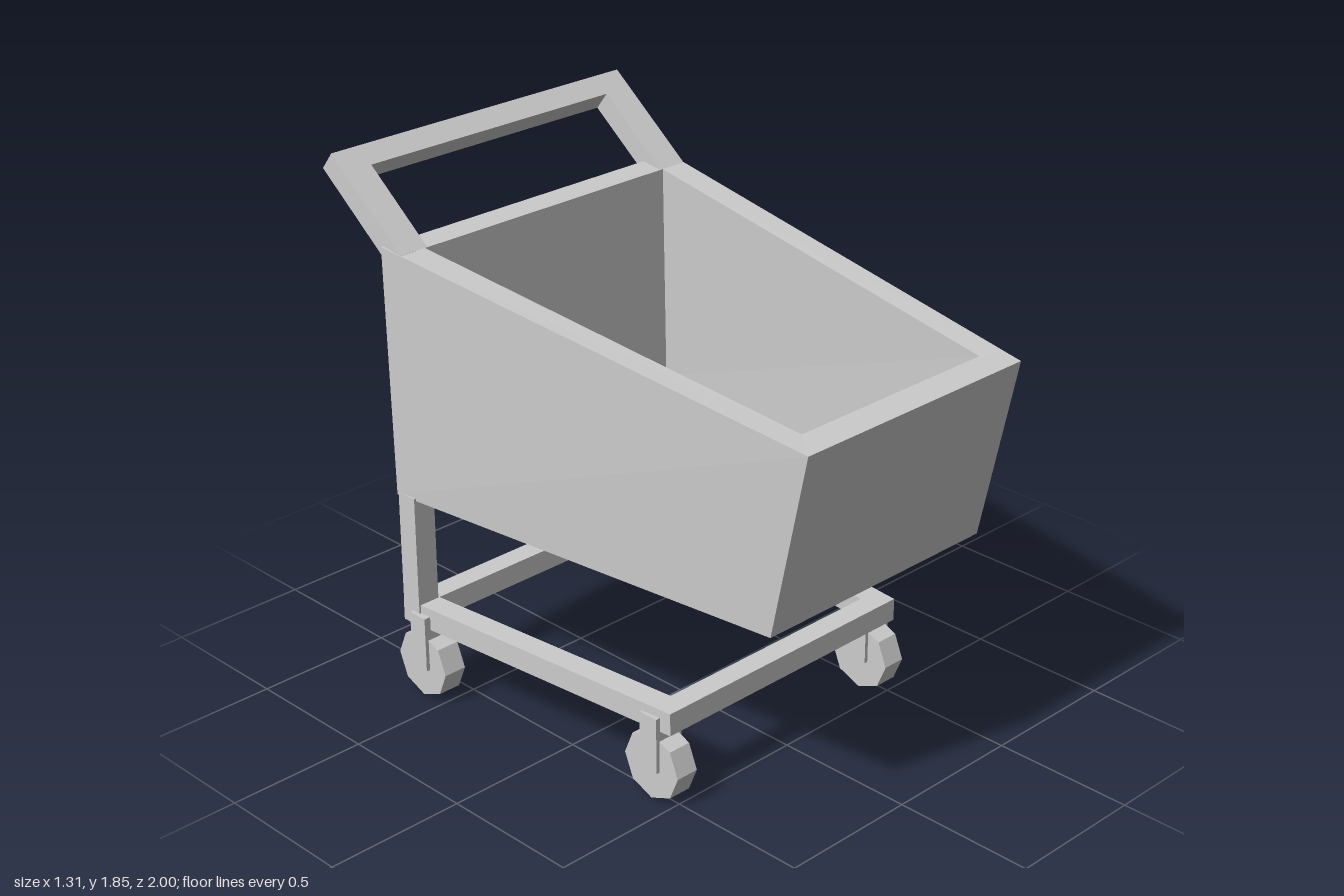
import * as THREE from 'three';

const material = new THREE.MeshStandardMaterial({ color: 0xcccccc, flatShading: true });

function add(parent, name, geometry, x = 0, y = 0, z = 0) {
  const mesh = new THREE.Mesh(geometry, material);
  mesh.name = name;
  mesh.position.set(x, y, z);
  parent.add(mesh);
  return mesh;
}

function polygon(points, Type = THREE.Shape) {
  return new Type(points.map(([x, y]) => new THREE.Vector2(x, y)));
}

// Four corners of a symmetric ring: front half width, y, z, then the same for the back
function ring(fx, fy, fz, bx, by, bz) {
  return [[fx, fy, fz], [bx, by, bz], [-bx, by, bz], [-fx, fy, fz]];
}

// Skin a list of four-cornered rings and cap both ends
function skin(rings) {
  const index = [];
  const quad = (a, b, c, d) => index.push(a, b, c, a, c, d);
  const last = (rings.length - 1) * 4;
  for (let r = 0; r < last; r += 4) {
    for (let i = 0; i < 4; i++) {
      const j = (i + 1) % 4;
      quad(r + i, r + j, r + 4 + j, r + 4 + i);
    }
  }
  quad(3, 2, 1, 0);
  quad(last, last + 1, last + 2, last + 3);
  const geometry = new THREE.BufferGeometry();
  geometry.setAttribute('position', new THREE.Float32BufferAttribute(rings.flat(2), 3));
  geometry.setIndex(index);
  const flat = geometry.toNonIndexed();
  flat.computeVertexNormals();
  return flat;
}

export function createModel() {
  const cart = new THREE.Group();
  cart.name = 'shoppingCart';

  // Tapered open basket: outer bottom, outer rim, inner rim, inner floor
  add(cart, 'basket', skin([
    ring(0.48, 0.745, 0.865, 0.64, 0.73, -0.685),
    ring(0.48, 1.39, 1.0, 0.64, 1.6, -0.705),
    ring(0.4, 1.4, 0.9, 0.53, 1.59, -0.62),
    ring(0.4, 0.84, 0.785, 0.53, 0.82, -0.605),
  ]));

  // Handle: U-shaped frame leaning back from the rear rim
  const handleShape = polygon([
    [-0.63, 0], [-0.52, 0], [-0.52, 0.34], [0.52, 0.34],
    [0.52, 0], [0.63, 0], [0.63, 0.42], [-0.63, 0.42],
  ]);
  const handleGeometry = new THREE.ExtrudeGeometry(handleShape, { depth: 0.078, bevelEnabled: false });
  handleGeometry.translate(0, 0, -0.078);
  add(cart, 'handle', handleGeometry, 0, 1.59, -0.62).rotation.x = -0.904;

  // Base frame: flat trapezoid with an opening, wider at the back
  const baseShape = polygon([[-0.53, -0.49], [0.53, -0.49], [0.64, 0.68], [-0.64, 0.68]]);
  baseShape.holes.push(polygon([[-0.45, -0.41], [-0.55, 0.6], [0.55, 0.6], [0.45, -0.41]], THREE.Path));
  const baseGeometry = new THREE.ExtrudeGeometry(baseShape, { depth: 0.08, bevelEnabled: false });
  baseGeometry.rotateX(-Math.PI / 2);
  add(cart, 'baseFrame', baseGeometry, 0, 0.26, 0);

  // Rear posts, wheel forks and eight-sided wheels
  const wheelGeometry = new THREE.CylinderGeometry(0.12, 0.12, 0.085, 8).rotateZ(Math.PI / 2);
  const forkGeometry = new THREE.BoxGeometry(0.112, 0.2, 0.075);
  for (const side of [1, -1]) {
    const sideName = side > 0 ? 'left' : 'right';
    add(cart, sideName + 'Post', new THREE.BoxGeometry(0.084, 0.48, 0.08), side * 0.597, 0.5, -0.64);
    for (const [end, x, z] of [['Front', 0.494, 0.41], ['Rear', 0.597, -0.595]]) {
      const caster = new THREE.Group();
      caster.name = sideName + end + 'Caster';
      caster.position.set(side * x, 0, z);
      add(caster, 'fork', forkGeometry, 0, 0.21, 0);
      add(caster, 'wheel', wheelGeometry, 0, 0.12, 0);
      cart.add(caster);
    }
  }
  return cart;
}
